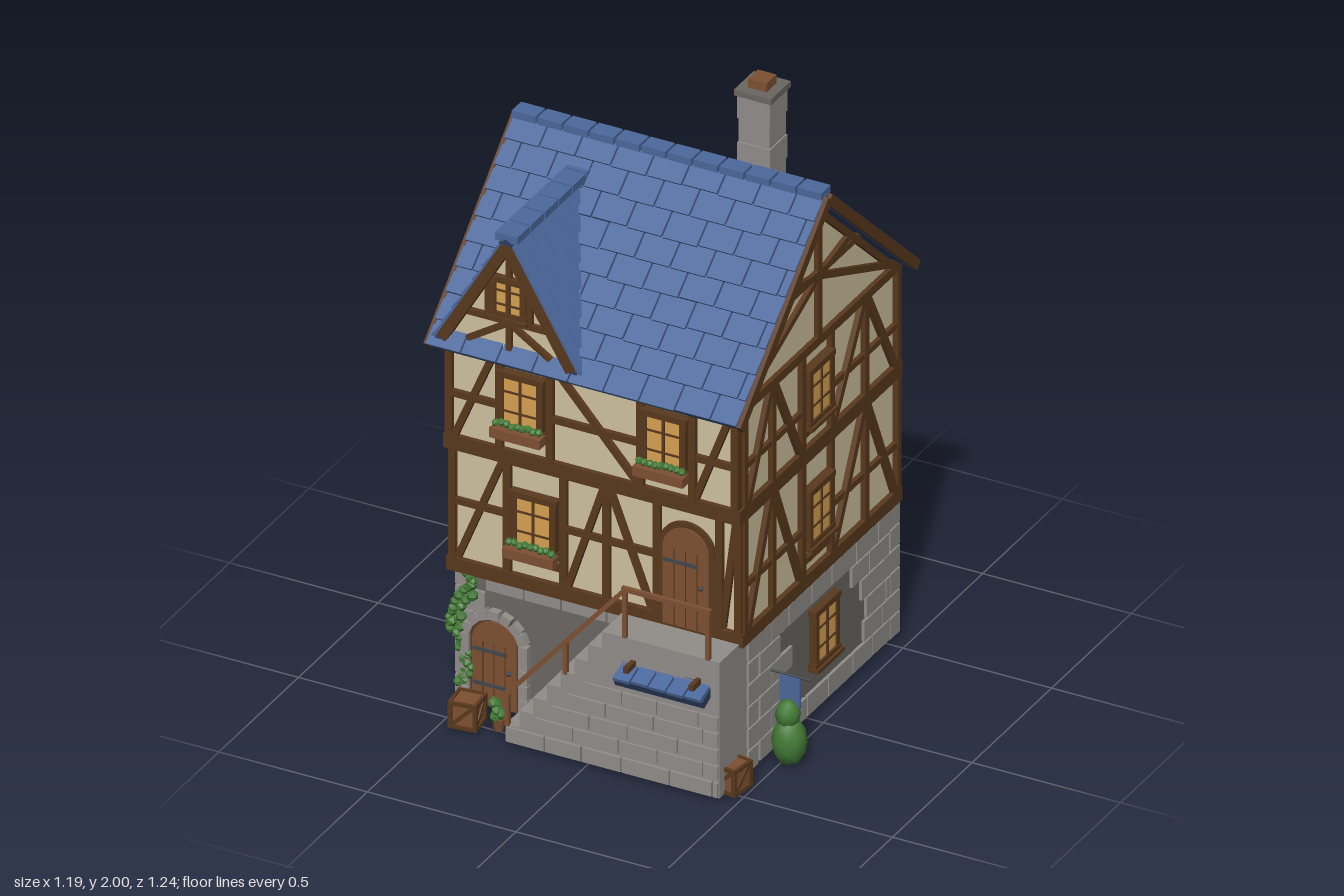
import * as THREE from 'three';

const mat = (name, color) => Object.assign(new THREE.MeshStandardMaterial({ color }), { name });
const M = {
  plaster: mat('cream plaster', 0xd0c3a0), timber: mat('dark timber', 0x5a391d),
  tile: mat('blue tile', 0x4c689c), under: mat('dark blue roof', 0x2e3f63),
  stone: mat('light stone', 0x918e8a), mortar: mat('dark stone', 0x6a6763),
  wood: mat('brown wood', 0x7e5032), glass: mat('lit window', 0xd8a253),
  leaf: mat('green leaf', 0x437a36), iron: mat('dark iron', 0x45464a),
};
let seed = 7;
const rnd = () => ((seed = (seed * 16807) % 2147483647) / 2147483647);

function add(parent, name, geo, material, x = 0, y = 0, z = 0) {
  const m = new THREE.Mesh(geo, material);
  m.name = name;
  m.position.set(x, y, z);
  parent.add(m);
  return m;
}
const box = (p, name, material, w, h, d, x, y, z) => add(p, name, new THREE.BoxGeometry(w, h, d), material, x, y, z);
function group(parent, name, x = 0, y = 0, z = 0, yaw = 0, lean = 0) {
  const g = new THREE.Group();
  g.name = name;
  g.position.set(x, y, z);
  g.rotation.set(lean, yaw, 0, 'YXZ');
  parent.add(g);
  return g;
}
// Straight timber between two points of a wall
function beam(p, [u1, v1, u2, v2], w = 0.024, d = 0.03, out = 0, material = M.timber, name = 'beam') {
  const m = box(p, name, material, Math.hypot(u2 - u1, v2 - v1), w, d, (u1 + u2) / 2, (v1 + v2) / 2, out);
  m.rotation.z = Math.atan2(v2 - v1, u2 - u1);
}
function extrude(p, name, material, pts, depth, z) {
  const s = new THREE.Shape(pts.map(([x, y]) => new THREE.Vector2(x, y)));
  return add(p, name, new THREE.ExtrudeGeometry(s, { depth, bevelEnabled: false }), material, 0, 0, z);
}
function bush(p, name, r, x, y, z, sy = 1) {
  const g = new THREE.IcosahedronGeometry(r, r > 0.03 ? 1 : 0);
  const m = add(p, name, g, M.leaf, x, y, z);
  m.scale.y = sy;
  m.rotation.y = rnd() * 3;
}

// Window with frame, mullions and sill, optionally a flower box
function windowUnit(wall, u, v, flowers = false, w = 0.15, h = 0.2, out = 0.012) {
  const g = group(wall, 'window', u, v, out);
  box(g, 'windowPane', M.glass, w - 0.02, h - 0.02, 0.012, 0, 0, 0.004);
  for (const s of [-1, 1]) {
    box(g, 'frameSide', M.timber, 0.02, h, 0.03, s * (w / 2 - 0.01), 0, 0);
    box(g, 'frameRail', M.timber, w + 0.01, 0.02, 0.034, 0, s * (h / 2 - 0.01), 0);
    box(g, 'glazingBar', M.timber, w, 0.006, 0.02, 0, s * h / 6, 0.004);
  }
  box(g, 'mullion', M.timber, 0.009, h, 0.022, 0, 0, 0.004);
  box(g, 'sill', M.timber, w + 0.015, 0.012, 0.045, 0, -h / 2, 0.004);
  if (!flowers) return;
  box(g, 'flowerBox', M.wood, w + 0.02, 0.032, 0.04, 0, -h / 2 + 0.002, 0.03);
  for (let i = 0; i < 9; i++) bush(g, 'flowerLeaves', 0.013, (i - 4) * 0.018, -h / 2 + 0.026 + rnd() * 0.01, 0.03);
}

// One storey of timber framing around a central window
function sideFrame(wall, u0, u1, v0, v1, c) {
  const rail = v0 + 0.41 * (v1 - v0);
  for (const [e, s] of [[u0, -1], [u1, 1]]) {
    const near = c + s * 0.09, mid = (e + near) / 2;
    for (const u of [e - s * 0.012, mid, near]) beam(wall, [u, v0, u, v1]);
    beam(wall, [mid + s * 0.012, v1, e - s * 0.03, v0]);
    beam(wall, [mid - s * 0.012, v1, near + s * 0.012, v0]);
    beam(wall, [e, rail, near, rail], 0.02, 0.024);
  }
  beam(wall, [c - 0.09, v0 + 0.05, c + 0.09, v0 + 0.05], 0.02, 0.024);
}

// Staggered masonry blocks, leaving out given rectangles
function stones(wall, u0, u1, v0, v1, holes = [], out = 0) {
  const rows = Math.max(1, Math.round((v1 - v0) / 0.075)), h = (v1 - v0) / rows;
  for (let r = 0; r < rows; r++) {
    let u = u0, w = r % 2 ? 0.07 : 0.13;
    while (u < u1 - 0.01) {
      const e = Math.min(u + w, u1), v = v0 + (r + 0.5) * h;
      if (!holes.some(([a, b, c, d]) => e > a && u < c && v > b && v < d))
        box(wall, 'stoneBlock', M.stone, e - u - 0.006, h - 0.006, 0.02, (u + e) / 2, v, out);
      u = e;
      w = 0.11 + rnd() * 0.06;
    }
  }
}

// Tiled roof plane hanging down from its ridge
function tiledSlope(parent, name, L, S, rows, tw, x, y, z, yaw, lean) {
  const g = group(parent, name, x, y, z, yaw, lean);
  box(g, 'roofBoard', M.under, L, S, 0.028, 0, -S / 2, -0.014);
  const h = S / rows;
  for (let r = 0; r < rows; r++) {
    for (let a = -L / 2 - (r % 2 ? tw / 2 : 0); a < L / 2 - 0.01; a += tw) {
      const u0 = Math.max(a, -L / 2), u1 = Math.min(a + tw, L / 2);
      const t = box(g, 'roofTile', M.tile, u1 - u0 - 0.006, h + 0.004, 0.012, (u0 + u1) / 2, -(r + 0.5) * h - rnd() * 0.006, 0.005);
      t.rotation.x = -0.09;
    }
  }
}

function archedDoor(wall, u, v, w, h, out) {
  const r = w / 2, door = (k, name, m, d) => {
    const s = new THREE.Shape();
    s.moveTo(-r - k, 0); s.lineTo(r + k, 0); s.lineTo(r + k, h - r);
    s.absarc(0, h - r, r + k, 0, Math.PI, false);
    add(g, name, new THREE.ExtrudeGeometry(s, { depth: d, bevelEnabled: false, curveSegments: 10 }), m);
  };
  const g = group(wall, 'archedDoor', u, v, out);
  door(0.018, 'doorFrame', M.timber, 0.012);
  door(0, 'doorLeaf', M.wood, 0.018);
  for (const i of [-1, 0, 1]) box(g, 'plankJoint', M.timber, 0.003, h - r, 0.003, i * w / 4, (h - r) / 2, 0.018);
  for (const k of [0.25, 0.65]) box(g, 'strap', M.iron, w * 0.75, 0.012, 0.004, -w * 0.1, h * k, 0.02);
  add(g, 'handle', new THREE.SphereGeometry(0.008, 8, 6), M.iron, r * 0.7, h * 0.45, 0.024);
}

function crate(root, x, z, yaw) {
  const g = group(root, 'crate', x, 0.06, z, yaw);
  box(g, 'crateBody', M.wood, 0.08, 0.08, 0.08, 0, 0, 0);
  for (let i = 0; i < 4; i++) {
    const f = group(g, 'crateSide', 0, 0, 0, i * Math.PI / 2);
    for (const s of [-0.039, 0.039]) {
      beam(f, [-0.045, s, 0.045, s], 0.012, 0.01, 0.041);
      beam(f, [s, -0.045, s, 0.045], 0.012, 0.01, 0.041);
    }
    beam(f, [-0.035, -0.035, 0.035, 0.035], 0.012, 0.006, 0.041);
  }
}

export function createModel() {
  const root = new THREE.Group();
  root.name = 'townHouse';
  const PI = Math.PI, X = -0.037;

  // Wall bodies
  box(root, 'stoneBase', M.mortar, 0.97, 0.46, 0.93, X, 0.245, -0.085);
  box(root, 'lowerStorey', M.plaster, 0.966, 0.45, 0.97, X, 0.695, -0.065);
  box(root, 'upperStorey', M.plaster, 0.966, 0.38, 0.99, X, 1.11, -0.055);
  const front = group(root, 'frontWall', 0, 0, 0.42), front2 = group(root, 'frontUpperWall', 0, 0, 0.442);
  const right = group(root, 'rightSideWall', 0.448, 0, 0, PI / 2), left = group(root, 'leftSideWall', -0.522, 0, 0, -PI / 2);
  const back = group(root, 'backWall', 0, 0, -0.55, PI), base = group(root, 'frontBase', 0, 0, 0.38);

  // Sills, storey beams, side and back framing
  for (const [y, h, z1] of [[0.492, 0.045, 0.437], [0.922, 0.05, 0.455], [1.28, 0.03, 0.455]])
    box(root, 'storeyBeam', M.timber, 1.0, h, z1 + 0.565, X, y, (z1 - 0.565) / 2);
  for (const [w, u0, u1, c] of [[right, -0.425, 0.56, 0.04], [left, -0.56, 0.425, -0.05], [back, -0.455, 0.53, 0.04]]) {
    sideFrame(w, u0, u1, 0.51, 0.9, c);
    sideFrame(w, u0, u1, 0.945, 1.27, c);
    windowUnit(w, c, 0.705);
    windowUnit(w, c, 1.12);
    windowUnit(w, c + (w === left ? -0.03 : 0.04), 0.27, w === left, 0.15, 0.2, 0.01);
  }
  for (const s of [-1, 1]) box(left, 'shutter', M.tile, 0.045, 0.19, 0.01, -0.05 + s * 0.1, 0.705, 0.04);

  // Front framing
  for (const u of [-0.52, -0.335, -0.145, 0, 0.17, 0.38, 0.443]) beam(front, [u, 0.51, u, 0.9]);
  for (const b of [[-0.5, 0.52, -0.35, 0.89], [-0.13, 0.52, -0.01, 0.89], [0.01, 0.89, 0.15, 0.52], [0.39, 0.52, 0.435, 0.89],
    [-0.52, 0.71, -0.335, 0.71], [-0.145, 0.71, 0.17, 0.71], [-0.335, 0.57, -0.145, 0.57]]) beam(front, b, 0.022, 0.026);
  for (const u of [-0.52, -0.35, -0.18, 0.125, 0.3, 0.443]) beam(front2, [u, 0.945, u, 1.27]);
  for (const b of [[-0.5, 0.95, -0.365, 1.27], [-0.17, 1.27, 0.115, 0.95], [0.31, 0.95, 0.43, 1.27],
    [-0.52, 1.09, -0.35, 1.09], [-0.18, 1.09, 0.125, 1.09], [0.3, 1.09, 0.443, 1.09]]) beam(front2, b, 0.022, 0.026);
  windowUnit(front, -0.24, 0.705, true);
  windowUnit(front2, -0.272, 1.12, true);
  windowUnit(front2, 0.21, 1.12, true);
  archedDoor(front, 0.272, 0.49, 0.155, 0.34, 0.004);

  // Masonry and corner stones
  stones(right, -0.32, 0.5, 0.02, 0.465, [[-0.06, 0.17, 0.2, 0.37], [-0.1, 0.1, 0.24, 0.25], [-0.09, 0.32, 0.0, 0.4]]);
  stones(left, -0.5, 0.32, 0.02, 0.465, [[-0.15, 0.17, 0.0, 0.37]]);
  stones(base, -0.43, 0.02, 0.4, 0.465);
  for (const [x, sx] of [[-0.532, 1], [0.458, -1]]) for (const [z, sz] of [[-0.56, 1], [0.39, -1]])
    for (let i = 0; i < 6; i++) {
      const w = i % 2 ? 0.06 : 0.1, d = i % 2 ? 0.1 : 0.06;
      box(root, 'cornerStone', M.stone, w, 0.069, d, x + sx * w / 2, 0.055 + i * 0.0755, z + sz * d / 2);
    }

  // Cellar door with stone arch
  archedDoor(base, -0.395, 0.015, 0.15, 0.29, 0.002);
  for (let i = 0; i <= 8; i++) {
    const a = i * PI / 8;
    const s = box(base, 'archStone', M.stone, 0.03, 0.034, 0.03, -0.395 + 0.098 * Math.cos(a), 0.23 + 0.098 * Math.sin(a), 0.01);
    s.rotation.z = a;
  }
  for (const s of [-1, 1]) for (let i = 0; i < 4; i++) box(base, 'jambStone', M.stone, 0.03, 0.046, 0.03, -0.395 + s * 0.098, 0.04 + i * 0.05, 0.01);

  // Stairs and landing
  const steps = [[0.45, 0.015], [0.45, 0.48], [0.1, 0.48]];
  for (let i = 7; i >= 0; i--) {
    const x = -0.27 + i * 0.04625, y = 0.074 + i * 0.058;
    steps.push([x + 0.04625, y], [x, y]);
  }
  steps.push([-0.27, 0.015]);
  extrude(root, 'stairs', M.stone, steps.reverse(), 0.18, 0.38);
  stones(root, -0.265, 0.45, 0.017, 0.072, [], 0.56);
  for (let r = 1; r < 5; r++) stones(root, -0.225 + r * 0.055, 0.45, 0.02 + r * 0.056, 0.072 + r * 0.056, [], 0.558);
  const rail = group(root, 'railing', 0, 0, 0.557);
  for (const b of [[-0.265, 0.07, -0.265, 0.19], [-0.07, 0.3, -0.07, 0.41], [0.13, 0.48, 0.13, 0.645], [0.41, 0.48, 0.41, 0.645],
    [-0.27, 0.175, 0.13, 0.642], [0.12, 0.645, 0.42, 0.645]]) beam(rail, b, 0.014, 0.014, 0, M.wood, 'railBar');

  // Small awning at the landing
  tiledSlope(root, 'awning', 0.3, 0.205, 3, 0.06, 0.27, 0.445, 0.425, 0, -1.15);
  for (const x of [0.16, 0.38]) box(root, 'awningBracket', M.timber, 0.016, 0.02, 0.08, x, 0.4, 0.57);

  // Main roof, gables and barge boards
  const lean = -Math.atan2(0.555, 0.51);
  tiledSlope(root, 'frontRoof', 1.05, 0.755, 9, 0.12, -0.04, 1.783, -0.05, 0, lean);
  tiledSlope(root, 'backRoof', 1.05, 0.755, 9, 0.12, -0.04, 1.783, -0.05, PI, lean);
  for (let i = 0; i < 12; i++) box(root, 'ridgeTile', M.tile, 0.08, 0.024, 0.06, -0.04 + (i - 5.5) * 0.0875, 1.79, -0.05);
  for (const [w, c] of [[right, 0.05], [left, -0.05]]) {
    extrude(w, 'gable', M.plaster, [[c - 0.5, 1.28], [c + 0.5, 1.28], [c, 1.74]], 0.02, -0.02);
    for (const s of [-1, 1]) {
      beam(w, [c, 1.772, c + s * 0.555, 1.262], 0.034, 0.014, 0.042, M.timber, 'bargeBoard');
      for (const b of [[c, 1.72, c + s * 0.49, 1.27], [c + s * 0.48, 1.295, c, 1.5], [c + s * 0.19, 1.54, c, 1.5],
        [c, 1.51, c + s * 0.25, 1.51]]) beam(w, b, 0.022);
    }
    beam(w, [c, 1.28, c, 1.73]);
  }

  // Dormer
  const dl = -Math.atan2(0.24, 0.4);
  for (const s of [-1, 1]) tiledSlope(root, 'dormerRoof', 0.7, 0.468, 7, 0.11, -0.302, 1.695, 0.15, s * PI / 2, dl);
  for (let i = 0; i < 8; i++) box(root, 'dormerRidgeTile', M.tile, 0.075, 0.025, 0.08, -0.302, 1.698, -0.155 + i * 0.0875);
  const dormer = group(root, 'dormerFront', -0.302, 0, 0.47);
  extrude(dormer, 'dormerGable', M.plaster, [[-0.215, 1.29], [0.215, 1.29], [0, 1.66]], 0.02, -0.02);
  windowUnit(dormer, 0, 1.485, false, 0.12, 0.14, 0.004);
  for (const s of [-1, 1]) {
    beam(dormer, [0, 1.67, s * 0.218, 1.3], 0.034, 0.03, 0.018);
    beam(dormer, [s * 0.07, 1.4, s * 0.07, 1.54], 0.018);
    beam(dormer, [0, 1.4, s * 0.14, 1.31], 0.018);
  }
  beam(dormer, [-0.14, 1.405, 0.14, 1.405], 0.02);
  beam(dormer, [0, 1.3, 0, 1.66], 0.018);

  // Chimney
  for (let i = 0; i < 5; i++) {
    const w = i % 2 ? 0.104 : 0.11;
    box(root, 'chimneyBlock', M.stone, w, 0.078, w, 0.161, 1.59 + i * 0.08, -0.248);
  }
  box(root, 'chimneyCap', M.mortar, 0.125, 0.02, 0.125, 0.161, 1.96, -0.248);
  box(root, 'chimneyPot', M.wood, 0.062, 0.04, 0.062, 0.161, 1.98, -0.248);

  // Banner
  const rod = add(root, 'bannerRod', new THREE.CylinderGeometry(0.004, 0.004, 0.145, 8), M.iron, 0.52, 0.3, 0.25);
  rod.rotation.z = PI / 2;
  box(root, 'banner', M.tile, 0.068, 0.1, 0.008, 0.522, 0.245, 0.25);

  // Crates, bushes, potted plants and ivy
  crate(root, -0.42, 0.52, 0.12);
  crate(root, 0.45, 0.485, -0.15);
  bush(root, 'bushLower', 0.055, 0.527, 0.085, 0.265, 1.5);
  bush(root, 'bushUpper', 0.039, 0.522, 0.175, 0.265, 1.25);
  for (const [x, z] of [[-0.32, 0.51], [-0.575, 0.185]]) {
    add(root, 'plantPot', new THREE.CylinderGeometry(0.023, 0.016, 0.04, 8), M.wood, x, 0.036, z);
    for (let i = 0; i < 5; i++) bush(root, 'potLeaves', 0.02, x + (rnd() - 0.5) * 0.03, 0.065 + i * 0.01, z + (rnd() - 0.5) * 0.03);
  }
  for (let i = 0; i < 34; i++) {
    const t = i / 33;
    bush(root, 'ivyLeaf', 0.013 + rnd() * 0.007, -0.505 + 0.025 * Math.sin(t * 9) + (rnd() - 0.5) * 0.05, 0.07 + t * 0.39, 0.396);
  }
  return root;
}
